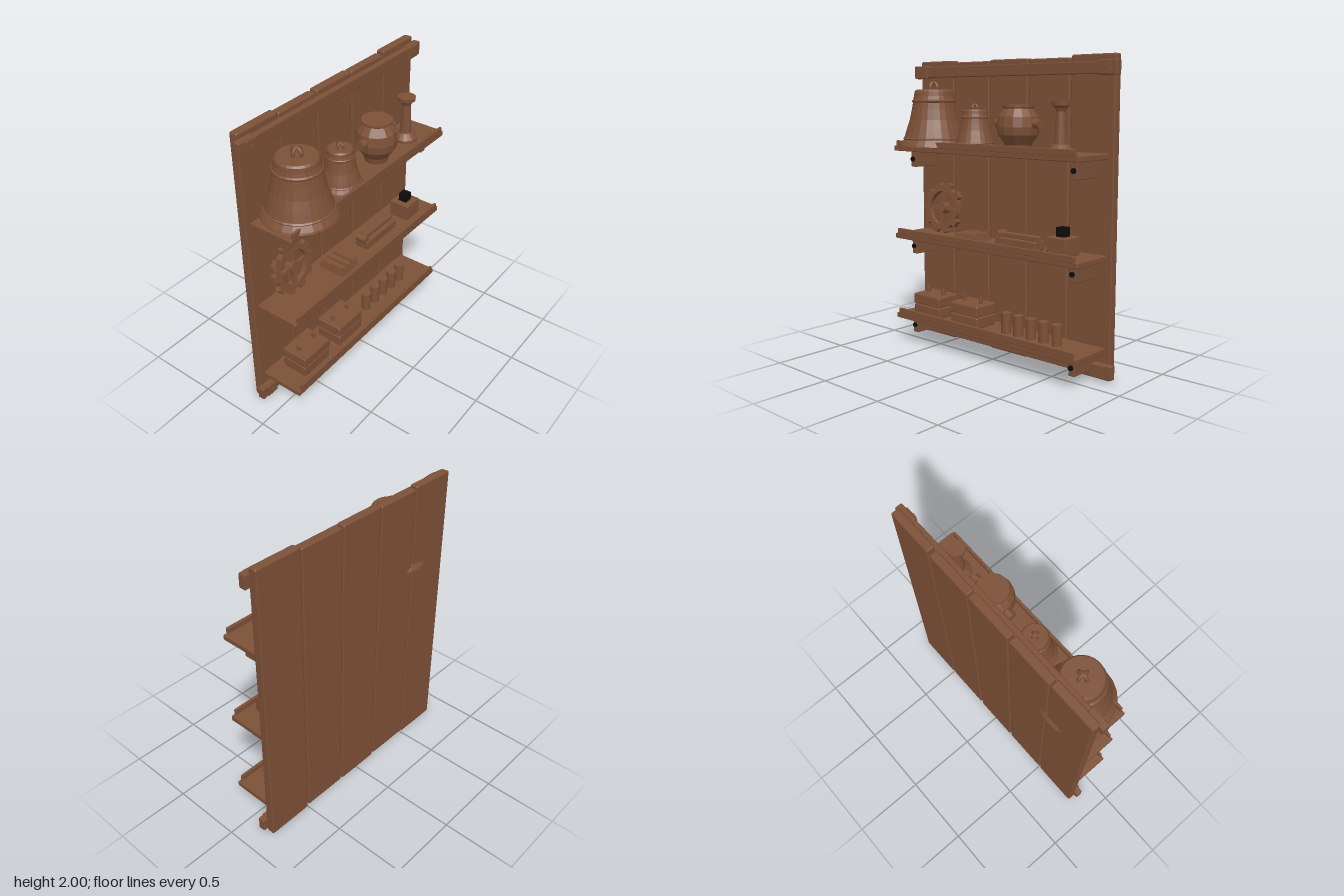
import * as THREE from 'three';
import { RoundedBoxGeometry } from 'three/addons/geometries/RoundedBoxGeometry.js';

const wood = new THREE.MeshStandardMaterial({ color: 0x7c5037 });
wood.name = 'brown';
const black = new THREE.MeshStandardMaterial({ color: 0x0c0c0c });
black.name = 'black';

function add(parent, name, geometry, x, y, z, material = wood) {
  const mesh = new THREE.Mesh(geometry, material);
  mesh.name = name;
  mesh.position.set(x, y, z);
  parent.add(mesh);
  return mesh;
}

// Box with softened edges, given by its extents
function block(parent, name, [x0, x1], [y0, y1], [z0, z1], bevel = 0.006, material = wood) {
  const geometry = new RoundedBoxGeometry(x1 - x0, y1 - y0, z1 - z0, 1, bevel);
  return add(parent, name, geometry, (x0 + x1) / 2, (y0 + y1) / 2, (z0 + z1) / 2, material);
}

// Faceted solid of revolution from [radius, height] pairs, bottom to top
function turned(points, sides) {
  const lathe = new THREE.LatheGeometry(points.map(([r, y]) => new THREE.Vector2(r, y)), sides);
  const geometry = lathe.toNonIndexed();
  geometry.computeVertexNormals();
  return geometry;
}

function group(parent, name, x, y, z) {
  const g = new THREE.Group();
  g.name = name;
  g.position.set(x, y, z);
  parent.add(g);
  return g;
}

function bell(parent, name, x, radiusScale, heightScale) {
  const g = group(parent, name, x, 1.412, 0);
  const profile = [[0, 0], [0.237, 0], [0.232, 0.012], [0.21, 0.045], [0.214, 0.052], [0.206, 0.06],
    [0.187, 0.12], [0.167, 0.18], [0.152, 0.25], [0.144, 0.295], [0.15, 0.302], [0.15, 0.31],
    [0.142, 0.317], [0.136, 0.34], [0.132, 0.37], [0.122, 0.382], [0, 0.382]];
  add(g, 'bellBody', turned(profile, 24), 0, 0, 0).scale.set(radiusScale, heightScale, radiusScale);
  // Crossed hanging loops
  for (const turn of [0, Math.PI / 2]) {
    const loop = add(g, 'bellLoop', new THREE.TorusGeometry(0.034, 0.011, 8, 20), 0, 0.397 * heightScale, 0);
    loop.rotation.y = turn;
    loop.scale.setScalar(Math.min(1, radiusScale * 1.1));
  }
}

function gear(parent) {
  const g = group(parent, 'gear', -0.543, 0.97, -0.083);
  g.rotation.x = -0.13;
  const teeth = 10, outline = new THREE.Shape();
  for (let i = 0; i < teeth; i++) {
    const a = (i / teeth) * Math.PI * 2;
    for (const [r, da] of [[0.152, -0.18], [0.18, -0.13], [0.18, 0.13], [0.152, 0.18], [0.152, 0.314]]) {
      const px = r * Math.cos(a + da), py = r * Math.sin(a + da);
      if (i === 0 && da === -0.18) outline.moveTo(px, py);
      else outline.lineTo(px, py);
    }
  }
  outline.holes.push(new THREE.Path().absarc(0, 0, 0.118, 0, Math.PI * 2, true));
  const rim = new THREE.ExtrudeGeometry(outline, { depth: 0.036, bevelEnabled: false, curveSegments: 20 });
  add(g, 'gearRim', rim, 0, 0, -0.018);
  add(g, 'gearSpoke', new THREE.BoxGeometry(0.25, 0.026, 0.024), 0, 0, 0);
  add(g, 'gearSpoke', new THREE.BoxGeometry(0.026, 0.25, 0.024), 0, 0, 0);
  add(g, 'gearHub', new THREE.CylinderGeometry(0.04, 0.04, 0.06, 16), 0, 0, 0).rotation.x = Math.PI / 2;
}

export function createModel() {
  const model = new THREE.Group();
  model.name = 'displayRack';

  // Back planks with slightly uneven ends
  [[-0.83, 0.005, 1.995], [-0.499, 0.015, 1.983], [-0.166, 0.008, 1.99],
    [0.168, 0.012, 1.985], [0.503, 0, 2]].forEach(([x, y0, y1]) =>
    block(model, 'backPlank', [x, x + 0.322], [y0, y1], [-0.215, -0.157], 0.01));

  // Cross battens with end blocks, plates and bolts
  for (const y of [0.067, 1.918]) {
    block(model, 'batten', [-0.84, 0.84], [y - 0.037, y + 0.037], [-0.165, -0.12]);
    for (const side of [-1, 1]) {
      const x = side * 0.793;
      block(model, 'battenEnd', [x - 0.066, x + 0.066], [y - 0.045, y + 0.045], [-0.165, -0.117]);
      block(model, 'battenPlate', [side * 0.775 - 0.042, side * 0.775 + 0.042], [y - 0.04, y + 0.04], [-0.12, -0.108], 0.003);
      add(model, 'battenBolt', new THREE.CylinderGeometry(0.01, 0.01, 0.012, 10), side * 0.775, y, -0.104)
        .rotation.x = Math.PI / 2;
    }
  }

  // Shelves with front lips, brackets and dark bolts
  for (const y of [0.21, 0.79, 1.41]) {
    block(model, 'shelf', [-0.795, 0.79], [y - 0.036, y], [-0.157, 0.147]);
    block(model, 'shelfLip', [-0.77, 0.765], [y - 0.005, y + 0.037], [0.13, 0.148], 0.004);
    for (const x of [-0.697, 0.69]) {
      block(model, 'shelfBracket', [x - 0.024, x + 0.024], [y - 0.15, y - 0.034], [-0.157, 0.056]);
      add(model, 'bracketBolt', new THREE.CylinderGeometry(0.017, 0.017, 0.016, 12), x, y - 0.095, 0.06, black)
        .rotation.x = Math.PI / 2;
    }
  }

  // Top shelf: bells, pot and candlestick
  bell(model, 'largeBell', -0.542, 1, 1);
  bell(model, 'smallBell', -0.157, 0.61, 0.66);
  const pot = group(model, 'pot', 0.215, 1.41, 0);
  add(pot, 'potBody', turned([[0, 0], [0.075, 0], [0.085, 0.04], [0.128, 0.1], [0.136, 0.15], [0.128, 0.215],
    [0.092, 0.265], [0.102, 0.272], [0.102, 0.286], [0, 0.286]], 14), 0, 0, 0);
  for (const side of [-1, 1]) {
    add(pot, 'potLug', new THREE.CylinderGeometry(0.03, 0.03, 0.06, 10), side * 0.145, 0.172, 0)
      .rotation.z = Math.PI / 2;
  }
  add(model, 'candlestick', turned([[0, 0], [0.08, 0], [0.08, 0.02], [0.052, 0.045], [0.04, 0.055], [0.029, 0.25],
    [0.037, 0.27], [0.056, 0.285], [0.058, 0.31], [0, 0.31]], 16), 0.547, 1.41, 0);

  // Middle shelf: gear, ingots, bar tool and stamp
  gear(model);
  for (let i = 0; i < 3; i++) {
    const ingot = new THREE.BoxGeometry(0.056, 0.055, 0.19);
    const p = ingot.attributes.position;
    for (let k = 0; k < p.count; k++) {
      if (p.getY(k) > 0) p.setXYZ(k, p.getX(k) * 0.65, p.getY(k), p.getZ(k) * 0.88);
    }
    ingot.computeVertexNormals();
    add(model, 'ingot', ingot, -0.24 + i * 0.057, 0.8175, 0);
  }
  block(model, 'toolBase', [0.06, 0.395], [0.79, 0.85], [-0.05, 0.05]);
  block(model, 'toolRail', [0.07, 0.39], [0.848, 0.88], [-0.03, 0.02]);
  add(model, 'toolKnob', new THREE.CylinderGeometry(0.026, 0.026, 0.08, 14), 0.068, 0.864, 0)
    .rotation.x = Math.PI / 2;
  block(model, 'stampBlock', [0.5, 0.65], [0.79, 0.905], [-0.073, 0.073]);
  block(model, 'stampCube', [0.542, 0.605], [0.9, 0.963], [-0.031, 0.031], 0.002, black);

  // Bottom shelf: stacked mould halves with pegs, and a row of small cylinders
  for (const x of [-0.542, -0.182]) {
    block(model, 'mouldBase', [x - 0.125, x + 0.125], [0.21, 0.288], [-0.094, 0.094], 0.01);
    block(model, 'mouldTop', [x - 0.127, x + 0.127], [0.29, 0.364], [-0.096, 0.096], 0.01);
    for (const dx of [-0.076, 0.076]) {
      add(model, 'mouldPeg', new THREE.CylinderGeometry(0.013, 0.013, 0.05, 10), x + dx, 0.375, 0);
    }
  }
  for (let i = 0; i < 5; i++) {
    add(model, 'smallCylinder', new THREE.CylinderGeometry(0.034, 0.034, 0.135, 16), 0.12 + i * 0.104, 0.2775, 0);
  }
  return model;
}
